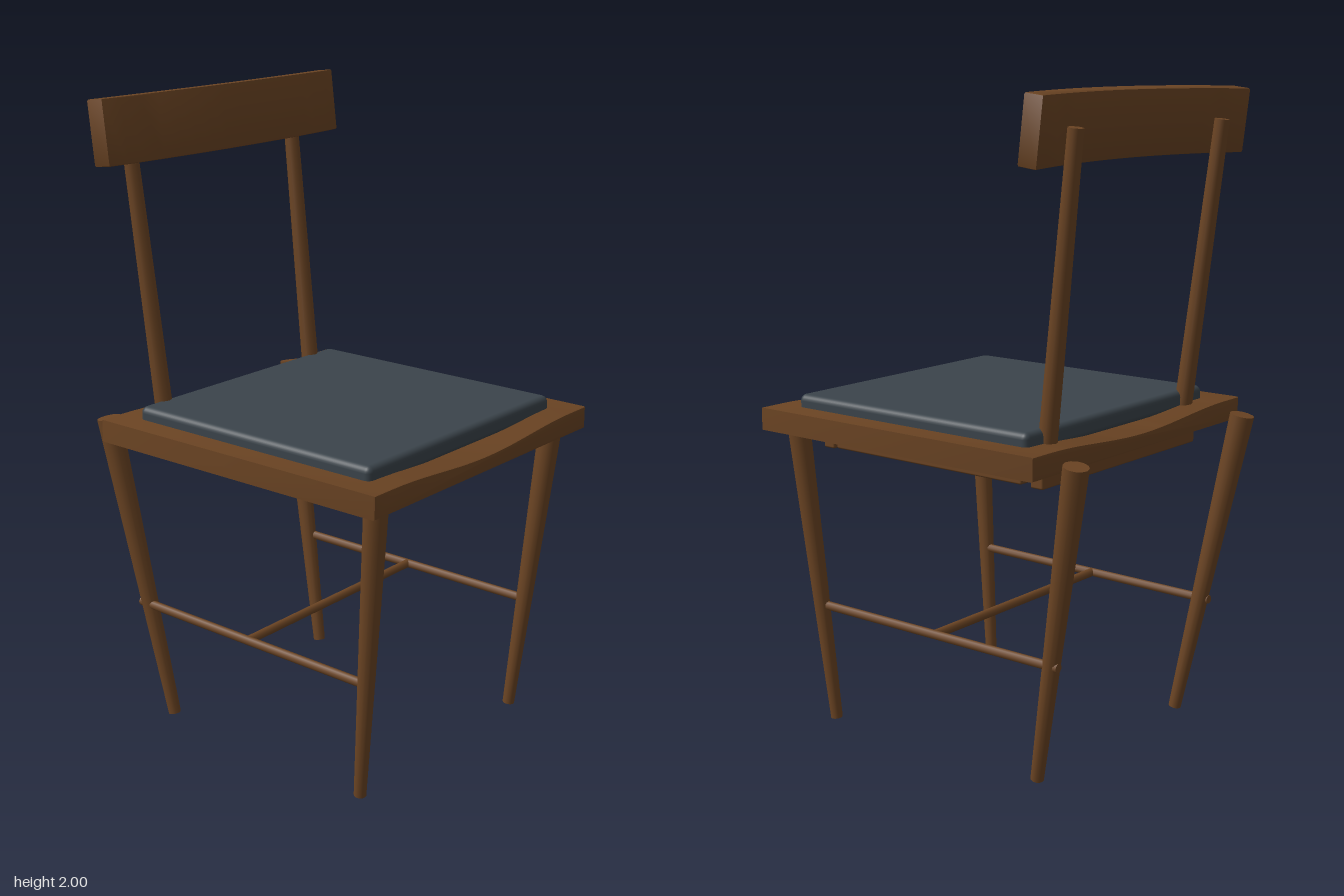
import * as THREE from 'three';
import { toCreasedNormals } from 'three/addons/utils/BufferGeometryUtils.js';
import { RoundedBoxGeometry } from 'three/addons/geometries/RoundedBoxGeometry.js';

const wood = new THREE.MeshStandardMaterial({ color: 0x6b4423 });
wood.name = 'walnutWood';
const fabric = new THREE.MeshStandardMaterial({ color: 0x3b444b });
fabric.name = 'charcoalFabric';

export function createModel() {
  const chair = new THREE.Group();
  chair.name = 'chair';

  const add = (name, geometry, material = wood) => {
    const mesh = new THREE.Mesh(geometry, material);
    mesh.name = name;
    chair.add(mesh);
    return mesh;
  };

  // Tapered round bar between two points
  const bar = (name, from, to, r0, r1, sides = 12) => {
    const a = new THREE.Vector3(...from), b = new THREE.Vector3(...to);
    const dir = b.clone().sub(a);
    const mesh = add(name, new THREE.CylinderGeometry(r1, r0, dir.length(), sides));
    mesh.position.copy(a).add(b).multiplyScalar(0.5);
    mesh.quaternion.setFromUnitVectors(new THREE.Vector3(0, 1, 0), dir.normalize());
    return mesh;
  };

  // Softly rounded block given by its limits
  const block = (name, x0, x1, y0, y1, z0, z1, r, material) => {
    const mesh = add(name, new RoundedBoxGeometry(x1 - x0, y1 - y0, z1 - z0, 3, r), material);
    mesh.position.set((x0 + x1) / 2, (y0 + y1) / 2, (z0 + z1) / 2);
    return mesh;
  };

  // Extrusion with a small bevel kept inside the outline
  const bevelled = (shape, depth, bevel) => toCreasedNormals(new THREE.ExtrudeGeometry(shape, {
    depth: depth - 2 * bevel, bevelEnabled: true, bevelThickness: bevel,
    bevelSize: bevel, bevelOffset: -bevel, bevelSegments: 2,
  }).translate(0, 0, bevel), 0.5);

  // Seat board with a shallow hollow along its top
  const seat = new THREE.Shape();
  seat.moveTo(-0.53, 0.952);
  seat.lineTo(0.53, 0.952);
  seat.lineTo(0.53, 1.022);
  for (let i = 0; i <= 20; i++) {
    const x = 0.45 - 0.045 * i;
    seat.lineTo(x, 1.022 - 0.012 * (1 + Math.cos((x / 0.45) * Math.PI)));
  }
  seat.lineTo(-0.53, 1.022);
  seat.closePath();
  add('seat', bevelled(seat, 1.065, 0.006)).position.z = -0.475;

  // Upholstered pad
  block('cushion', -0.45, 0.45, 1.002, 1.062, -0.39, 0.507, 0.02, fabric);

  // Aprons beneath the seat
  block('frontApron', -0.39, 0.39, 0.89, 0.96, 0.417, 0.46, 0.006);
  block('backApron', -0.39, 0.39, 0.89, 0.96, -0.4, -0.355, 0.006);

  for (const [side, s] of [['left', 1], ['right', -1]]) {
    block(side + 'Apron', s * 0.36 - 0.02, s * 0.36 + 0.02, 0.89, 0.96, -0.315, 0.415, 0.006);
    bar(side + 'FrontLeg', [s * 0.39, 0.004, 0.432], [s * 0.437, 0.955, 0.521], 0.019, 0.036);
    bar(side + 'BackLeg', [s * 0.365, 0.004, -0.364], [s * 0.432, 0.99, -0.548], 0.02, 0.038);
    bar(side + 'BackPost', [s * 0.347, 1.0, -0.383], [s * 0.366, 1.898, -0.49], 0.028, 0.023, 10);
    bar(side + 'Stretcher', [s * 0.397, 0.38, -0.465], [s * 0.405, 0.38, 0.465], 0.014, 0.014, 10);
  }
  bar('crossStretcher', [-0.4, 0.38, 0], [0.4, 0.38, 0], 0.014, 0.014, 10);

  // Curved back rail: plan outline extruded upward, leaning back with the posts
  const rail = new THREE.Shape();
  const bow = (x) => 0.052 * (x / 0.515) ** 2;
  const n = 16;
  for (let i = 0; i <= n; i++) {
    const x = -0.515 + (1.03 * i) / n;
    i ? rail.lineTo(x, bow(x)) : rail.moveTo(x, bow(x));
  }
  for (let i = n; i >= 0; i--) {
    const x = -0.515 + (1.03 * i) / n;
    rail.lineTo(x, bow(x) + 0.062);
  }
  rail.closePath();
  const backRail = add('backRail', bevelled(rail, 0.196, 0.005).rotateX(-Math.PI / 2));
  backRail.position.set(0, 1.805, -0.358);
  backRail.rotation.x = -0.12;

  return chair;
}
